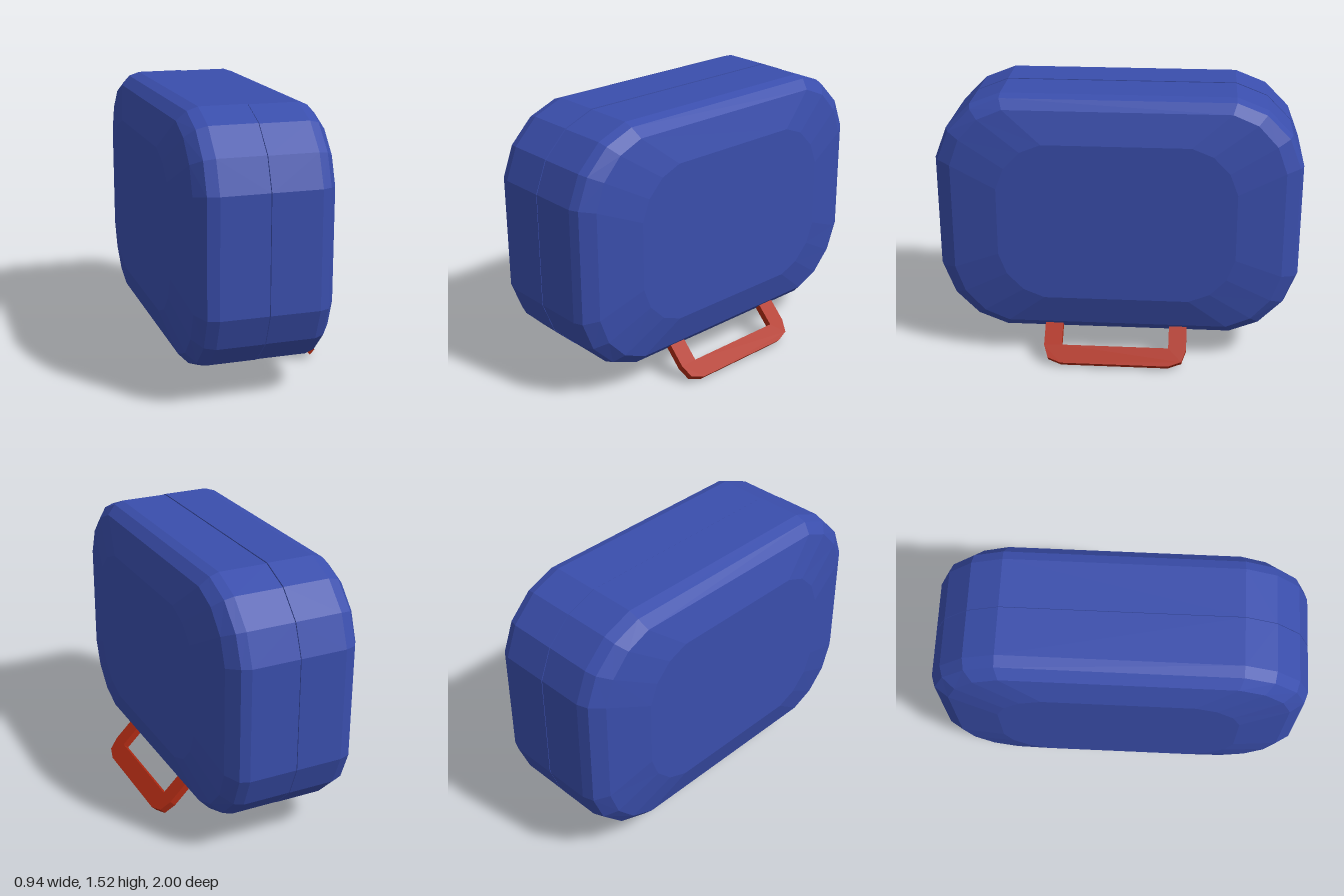
import * as THREE from 'three';

const CENTRE_Y = 0.835;
const blue = new THREE.MeshStandardMaterial({ color: 0x3a4eac, flatShading: true });
const red = new THREE.MeshStandardMaterial({ color: 0xaf2b14, flatShading: true });

// Rounded rectangle in z/y: half sizes hz, hy and half lengths of the straight edges sz, sy
function ring(x, hz, hy, sz, sy) {
  const corner = [[1, 0], [0.82, 0.46], [0.46, 0.82], [0, 1]]
    .map(([a, b]) => [sz + (hz - sz) * a, sy + (hy - sy) * b]);
  const back = [...corner].reverse();
  return [
    ...corner,
    ...back.map(([z, y]) => [-z, y]),
    ...corner.map(([z, y]) => [-z, -y]),
    ...back.map(([z, y]) => [z, -y]),
  ].map(([z, y]) => [x, CENTRE_Y + y, z]);
}

// Closed shell lofted through rings from the seam outwards; side is +1 or -1 along x
function shell(name, rings, side) {
  const n = rings[0].length;
  const last = rings.length - 1;
  const points = rings.flat();
  const index = [];
  const tri = (a, b, c) => (side > 0 ? index.push(a, b, c) : index.push(a, c, b));
  for (let r = 0; r < last; r++) {
    for (let i = 0; i < n; i++) {
      const j = (i + 1) % n;
      const a = r * n + i, b = r * n + j;
      tri(a, a + n, b + n);
      tri(a, b + n, b);
    }
  }
  // Flat caps: seam side and outer face
  const seam = points.length, face = seam + 1;
  points.push([rings[0][0][0], CENTRE_Y, 0], [rings[last][0][0], CENTRE_Y, 0]);
  for (let i = 0; i < n; i++) {
    const j = (i + 1) % n;
    tri(seam, i, j);
    tri(face, last * n + j, last * n + i);
  }
  let geometry = new THREE.BufferGeometry();
  geometry.setAttribute('position', new THREE.Float32BufferAttribute(points.flat(), 3));
  geometry.setIndex(index);
  geometry = geometry.toNonIndexed();
  geometry.computeVertexNormals();
  const mesh = new THREE.Mesh(geometry, blue);
  mesh.name = name;
  return mesh;
}

// One half of the case: straight wall, rounded shoulder, sloping flank, flat face
function caseHalf(name, side, xs, trim) {
  const [seam, wall, shoulder, flank, face] = xs;
  return shell(name, [
    ring(seam, 1, 0.69 - trim, 0.63, 0.315),
    ring(wall, 1, 0.69 - trim, 0.63, 0.315),
    ring(shoulder, 0.98, 0.67, 0.63, 0.315),
    ring(flank, 0.905, 0.62, 0.61, 0.3),
    ring(face, 0.65, 0.447, 0.4, 0.19),
  ], side);
}

// U-shaped bar with chamfered corners, tilted 45 degrees out of the lower edge
function handle() {
  const half = [[0.3, 0], [0.375, 0.028], [0.4, 0.1], [0.4, 0.24], [0.3, 0.24], [0.3, 0.105]];
  const outline = [...half, ...[...half].reverse().map(([z, v]) => [-z, v])];
  const shape = new THREE.Shape(outline.map(([z, v]) => new THREE.Vector2(z, v)));
  const depth = 0.04;
  const geometry = new THREE.ExtrudeGeometry(shape, { depth, bevelEnabled: false });
  geometry.translate(0, 0, -depth / 2);
  const s = Math.SQRT1_2;
  geometry.applyMatrix4(new THREE.Matrix4().makeBasis(
    new THREE.Vector3(0, 0, 1),
    new THREE.Vector3(-s, s, 0),
    new THREE.Vector3(-s, -s, 0),
  ));
  geometry.translate(0.451, 0.015, 0.006);
  const mesh = new THREE.Mesh(geometry, red);
  mesh.name = 'handle';
  return mesh;
}

export function createModel() {
  const group = new THREE.Group();
  group.name = 'suitcase';
  group.add(
    caseHalf('rightCaseHalf', -1, [-0.051, -0.31, -0.37, -0.42, -0.47], 0),
    caseHalf('leftCaseHalf', 1, [-0.047, 0.22, 0.27, 0.32, 0.37], 0.003),
    handle(),
  );
  return group;
}
